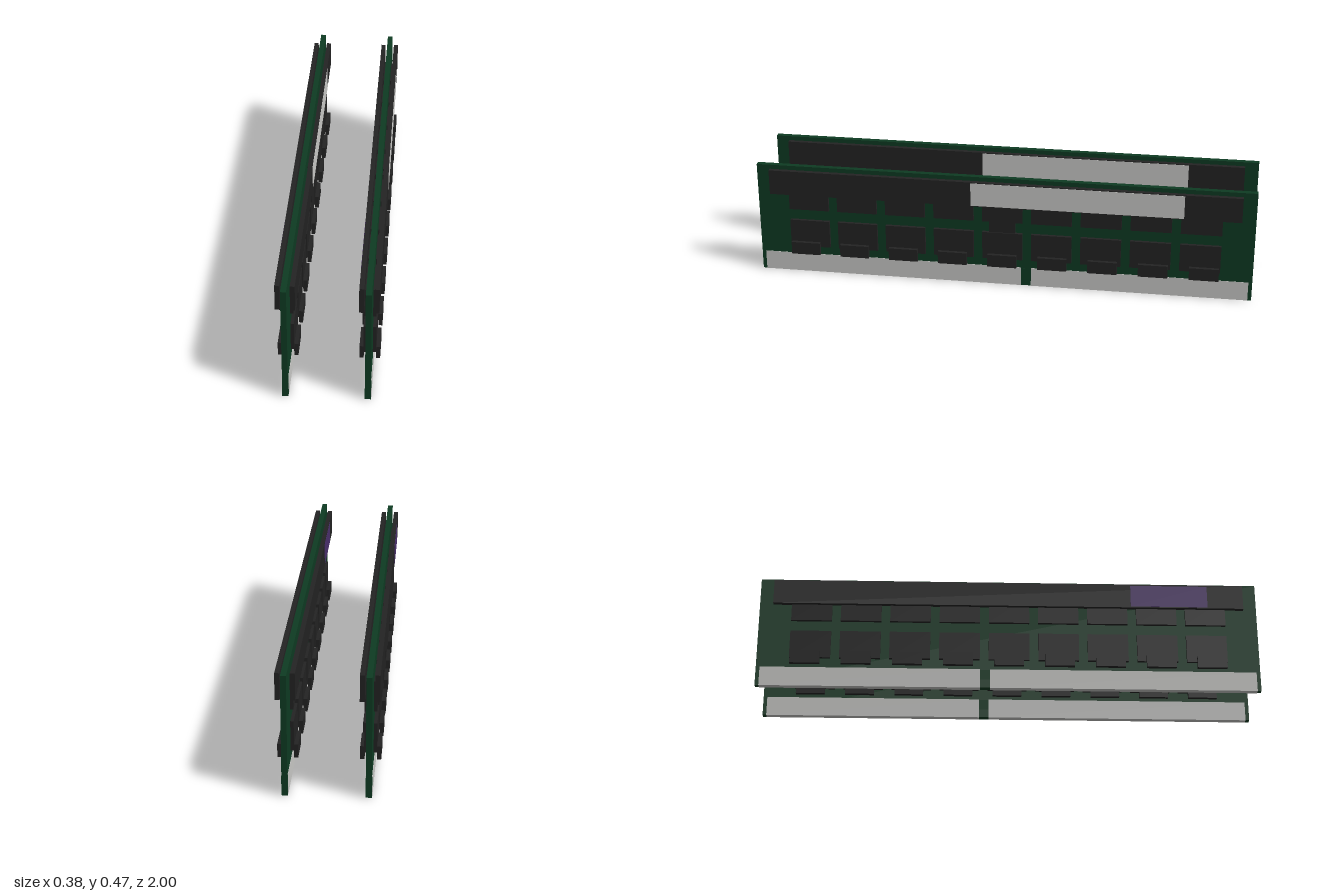
import * as THREE from 'three';

const paint = (name, color) => {
  const m = new THREE.MeshStandardMaterial({ color });
  m.name = name;
  return m;
};

export function createModel() {
  const green = paint('board green', 0x0e3b22);
  const black = paint('chip black', 0x232323);
  const silver = paint('contact silver', 0xcacac8);
  const purple = paint('label purple', 0x4a2f6b);

  // Box given by its limits on each axis
  const block = (parent, name, mat, [x0, x1], [y0, y1], [z0, z1]) => {
    const mesh = new THREE.Mesh(new THREE.BoxGeometry(x1 - x0, y1 - y0, z1 - z0), mat);
    mesh.position.set((x0 + x1) / 2, (y0 + y1) / 2, (z0 + z1) / 2);
    mesh.name = name;
    parent.add(mesh);
  };

  const createModule = () => {
    const g = new THREE.Group();
    g.name = 'memoryModule';

    // Circuit board with a slightly thicker lower edge
    block(g, 'board', green, [-0.0108, 0.0108], [0.001, 0.467], [-1, 1]);
    block(g, 'boardEdge', green, [-0.0115, 0.0115], [0.001, 0.077], [-1, 1]);

    // Edge contacts, split at the key
    for (const z of [[-0.075, 0.985], [-0.985, -0.115]])
      block(g, 'contacts', silver, [-0.012, 0.012], [0, 0.08], z);

    // Parts repeated on both faces
    for (const side of [-1, 1]) {
      const out = (a, b) => (side > 0 ? [a, b] : [-b, -a]);
      for (let i = -4; i <= 4; i++) {
        const c = i * 0.1975;
        block(g, 'upperChip', black, out(0.0105, 0.0228), [0.281, 0.398], [c - 0.081, c + 0.081]);
        block(g, 'lowerChip', black, out(0.0105, 0.0235), [0.118, 0.234], [c - 0.081, c + 0.081]);
        const p = i * 0.202;
        block(g, 'smallChip', black, out(0.0228, 0.0382), [0.088, 0.14], [p - 0.059, p + 0.059]);
      }
      // Raised bar along the top
      block(g, 'topBar', black, out(0.0185, 0.0365), [0.35, 0.453], [-0.945, 0.945]);
    }

    // Central controller
    block(g, 'controller', black, [0.0105, 0.027], [0.238, 0.408], [-0.052, 0.052]);

    // Thin labels
    block(g, 'whiteLabel', silver, [0.0363, 0.0375], [0.353, 0.45], [-0.72, 0.125]);
    block(g, 'purpleLabel', purple, [-0.0375, -0.0363], [0.354, 0.447], [0.49, 0.8]);
    return g;
  };

  const model = new THREE.Group();
  model.name = 'memoryModulePair';
  for (const x of [-0.151, 0.151]) {
    const m = createModule();
    m.position.x = x;
    model.add(m);
  }
  return model;
}
